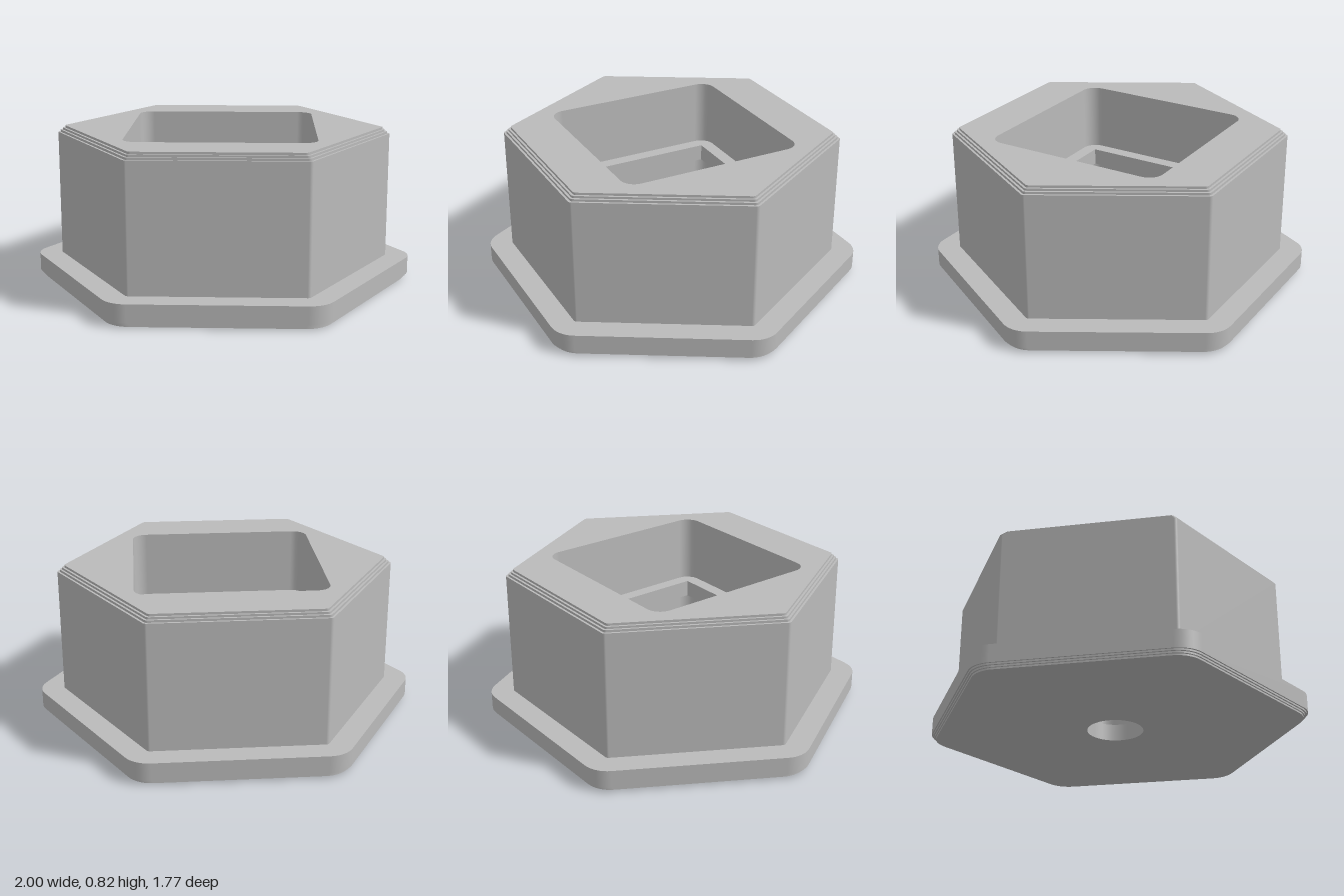
import * as THREE from 'three';
import { mergeGeometries } from 'three/addons/utils/BufferGeometryUtils.js';

// Regular polygon with rounded corners: points with their outward directions
function outline(sides, apothem, radius, turn = 0, steps = 8) {
  const half = Math.PI / sides, pts = [];
  const reach = (apothem - radius) / Math.cos(half);
  for (let i = 0; i < sides; i++) {
    const mid = turn + i * 2 * half;
    for (let k = 0; k <= steps; k++) {
      const a = mid - half + (2 * half * k) / steps;
      const nx = Math.cos(a), ny = Math.sin(a);
      pts.push({ x: Math.cos(mid) * reach + nx * radius, y: Math.sin(mid) * reach + ny * radius, nx, ny });
    }
  }
  return pts;
}
const hexagon = (apothem, radius) => outline(6, apothem, radius);
const square = (half, radius) => outline(4, half, radius, Math.PI / 4);
const circle = (radius) => outline(4, radius, radius, 0, 12);

// Upright wall along an outline; inward walls line a cavity
function wall(pts, y0, y1, inward = false) {
  const pos = [], nor = [], uv = [], s = inward ? -1 : 1;
  pts.forEach((a, i) => {
    const b = pts[(i + 1) % pts.length];
    if (Math.hypot(a.x - b.x, a.y - b.y) < 1e-6) return;
    const quad = [[a, y0], [b, y0], [b, y1], [a, y0], [b, y1], [a, y1]];
    if (inward) quad.reverse();
    for (const [p, y] of quad) {
      pos.push(p.x, y, -p.y);
      nor.push(s * p.nx, 0, -s * p.ny);
      uv.push(0, 0);
    }
  });
  const g = new THREE.BufferGeometry();
  g.setAttribute('position', new THREE.Float32BufferAttribute(pos, 3));
  g.setAttribute('normal', new THREE.Float32BufferAttribute(nor, 3));
  g.setAttribute('uv', new THREE.Float32BufferAttribute(uv, 2));
  return g;
}

// Level face between two outlines, facing up or down
function face(outer, inner, y, up = true) {
  const vectors = (pts) => pts
    .filter((p, i) => { const q = pts[(i + 1) % pts.length]; return Math.hypot(p.x - q.x, p.y - q.y) > 1e-6; })
    .map((p) => new THREE.Vector2(p.x, p.y));
  const shape = new THREE.Shape(vectors(outer));
  shape.holes.push(new THREE.Path(vectors(inner)));
  return new THREE.ShapeGeometry(shape).rotateX(up ? -Math.PI / 2 : Math.PI / 2).translate(0, y, 0).toNonIndexed();
}

export function createModel() {
  const model = new THREE.Group();
  const grey = new THREE.MeshStandardMaterial({ color: 0xbababa });
  grey.name = 'plain grey';
  const add = (name, parts) => {
    const mesh = new THREE.Mesh(mergeGeometries(parts), grey);
    mesh.name = name;
    model.add(mesh);
  };

  const pocket = square(0.485, 0.075), lip = square(0.415, 0), hole = circle(0.147);
  const floorY = 0.09, lipBottom = 0.375, lipTop = 0.465, flangeTop = 0.12, topY = 0.82;

  // Flange: stepped lower edge, [apothem, bottom of step]
  const lower = [[0.863, 0], [0.87, 0.009], [0.878, 0.018], [0.885, 0.027]];
  const flange = [];
  lower.forEach(([r, y], i) => {
    const ring = hexagon(r, 0.14);
    flange.push(wall(ring, y, i < 3 ? lower[i + 1][1] : flangeTop));
    flange.push(face(ring, i ? hexagon(lower[i - 1][0], 0.14) : hole, y, false));
  });
  flange.push(face(hexagon(0.885, 0.14), hexagon(0.765, 0.02), flangeTop));
  add('flange', flange);

  // Hexagonal body: stepped upper edge, [apothem, top of step]
  const upper = [[0.765, 0.785], [0.754, 0.797], [0.743, 0.808], [0.732, topY]];
  const body = [];
  upper.forEach(([r, y], i) => {
    const ring = hexagon(r, 0.02);
    body.push(wall(ring, i ? upper[i - 1][1] : flangeTop, y));
    body.push(face(ring, i < 3 ? hexagon(upper[i + 1][0], 0.02) : pocket, y));
  });
  add('body', body);

  // Upper pocket, narrow square lip, and the wider chamber under it
  add('upperPocket', [wall(pocket, lipTop, topY, true)]);
  add('lip', [face(pocket, lip, lipTop), wall(lip, lipBottom, lipTop, true), face(pocket, lip, lipBottom, false)]);
  add('lowerChamber', [wall(pocket, floorY, lipBottom, true), face(pocket, hole, floorY)]);

  // Round hole through the floor
  add('floorHole', [wall(hole, 0, floorY, true)]);
  return model;
}
